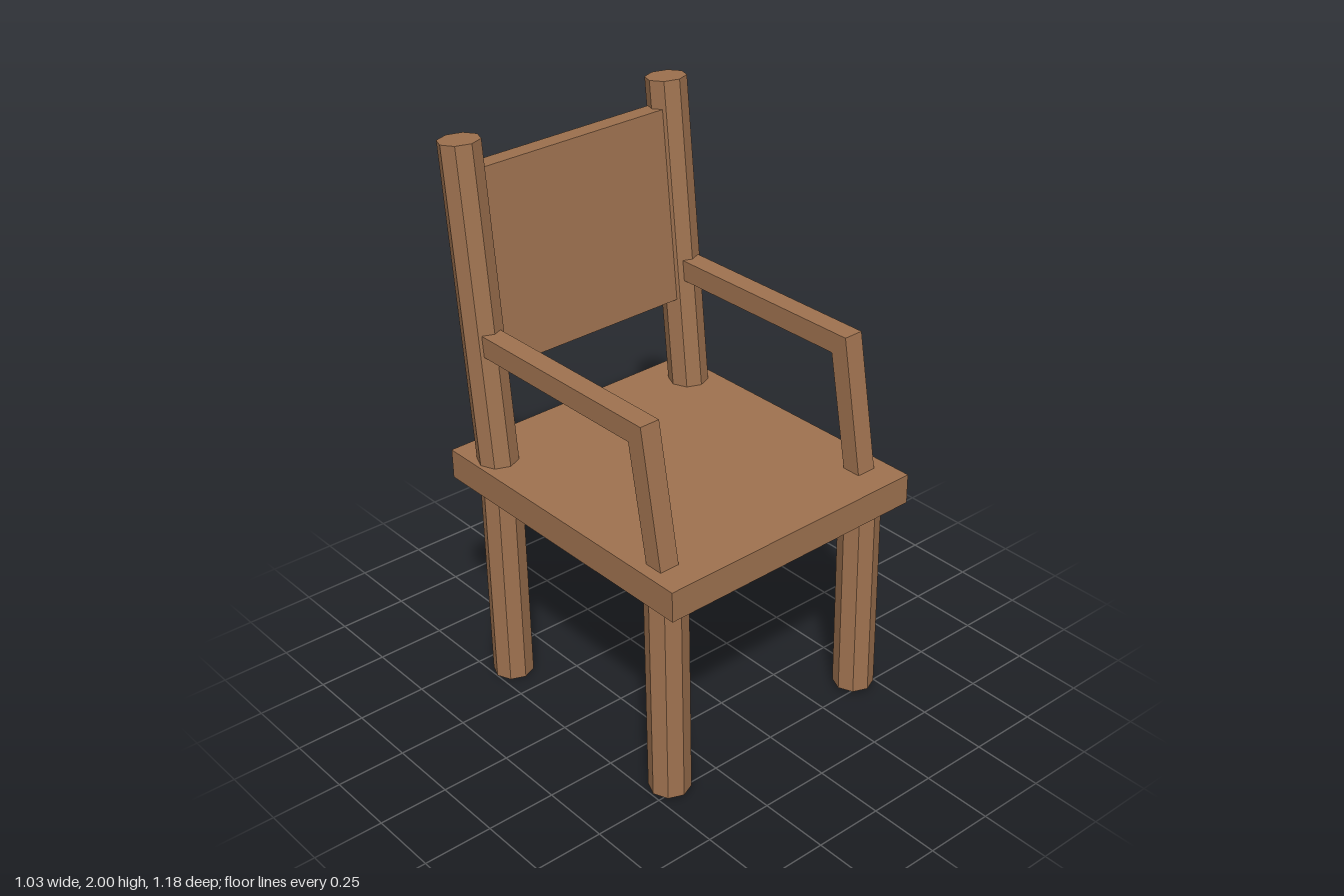
import * as THREE from 'three';

export function createModel() {
  const model = new THREE.Group();
  model.name = 'armchair';
  const wood = new THREE.MeshStandardMaterial({ color: 0xa07350, flatShading: true });

  // The whole chair leans very slightly
  const chair = new THREE.Group();
  chair.name = 'chair';
  chair.rotation.set(-0.009, 0, 0.0105);
  model.add(chair);

  const add = (name, geometry, x, y, z, tilt = 0) => {
    const mesh = new THREE.Mesh(geometry, wood);
    mesh.name = name;
    mesh.position.set(x, y, z);
    mesh.rotation.x = tilt;
    chair.add(mesh);
  };

  // Seat board
  add('seat', new THREE.BoxGeometry(1.03, 0.108, 1.15), 0.005, 0.823, 0.022);

  // Reclined back frame: axis passes from the seat to the post tops
  const lean = -0.0875;
  const backZ = y => -0.402 + Math.tan(lean) * (y - 0.88);
  const postBottom = 0.82, postTop = 1.994;
  const postMid = (postBottom + postTop) / 2;
  const postLength = (postTop - postBottom) / Math.cos(lean);

  // Side profile of an arm: sloping upright mitred into a level rail
  const armWidth = 0.073;
  const profile = new THREE.Shape([
    [0.497, 0.85], [0.412, 1.358], [-0.42, 1.358],
    [-0.42, 1.283], [0.352, 1.283], [0.428, 0.85],
  ].map(([z, y]) => new THREE.Vector2(z, y)));
  const arm = new THREE.ExtrudeGeometry(profile, { depth: armWidth, bevelEnabled: false });
  arm.translate(0, 0, -armWidth / 2).rotateY(-Math.PI / 2);

  const leg = new THREE.CylinderGeometry(0.072, 0.072, 0.78, 8);
  const post = new THREE.CylinderGeometry(0.072, 0.072, postLength, 8);

  for (const [side, s] of [['left', 1], ['right', -1]]) {
    add(side + 'FrontLeg', leg, s * 0.427, 0.4, 0.47);
    add(side + 'BackLeg', leg, s * 0.427, 0.4, -0.39);
    add(side + 'BackPost', post, s * 0.426, postMid, backZ(postMid), lean);
    add(side + 'Arm', arm, s * 0.43, 0, 0);
  }

  // Back panel between the posts
  add('backPanel', new THREE.BoxGeometry(0.82, 0.69, 0.077), 0, 1.553, backZ(1.553), lean);

  return model;
}
